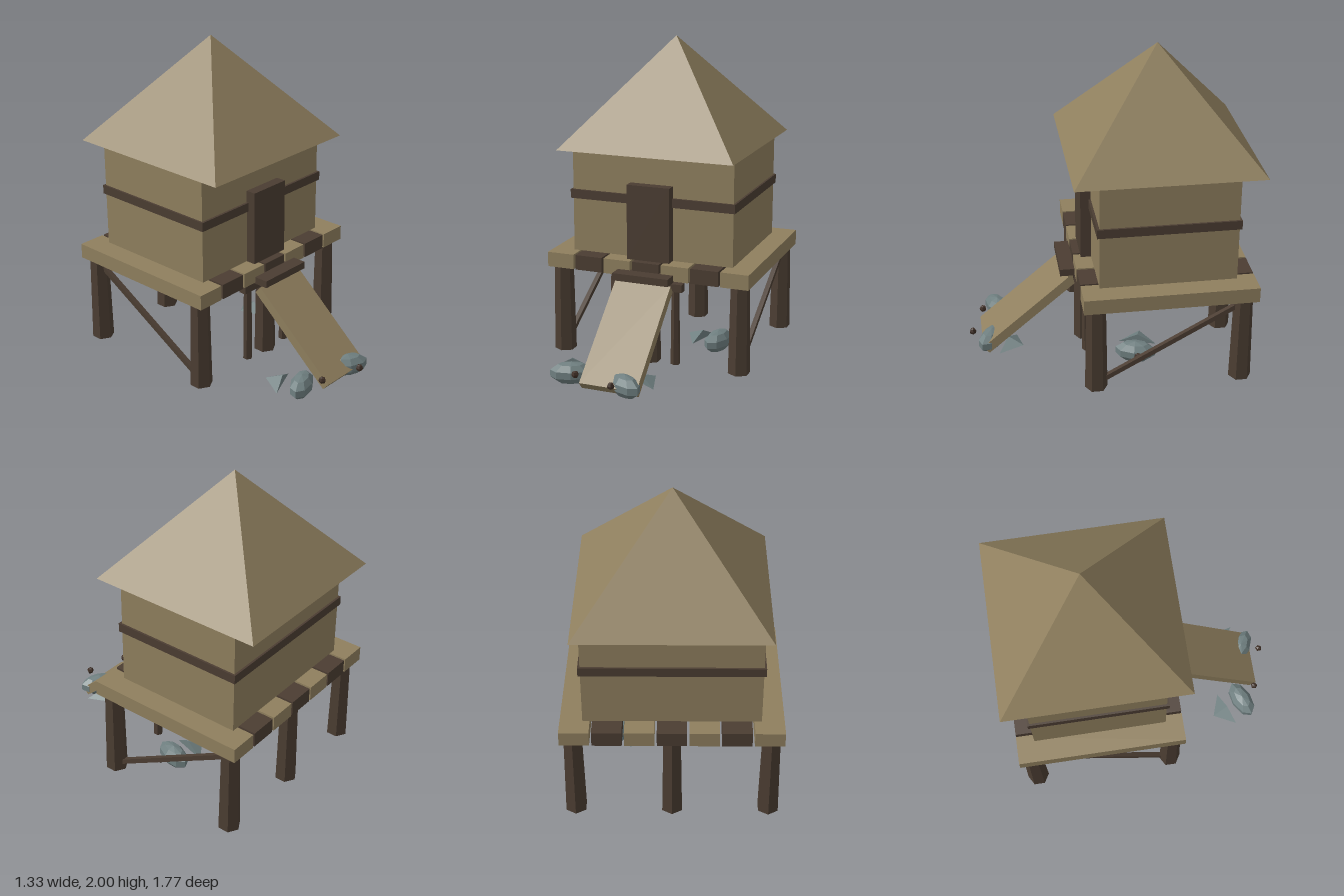
import * as THREE from 'three';

const flat = (color, name) => {
  const m = new THREE.MeshStandardMaterial({ color, flatShading: true });
  m.name = name;
  return m;
};

export function createModel() {
  const straw = flat(0x8f7f5e, 'straw wood');
  const dark = flat(0x4b3d32, 'dark wood');
  const scale = flat(0x6f7f80, 'fish grey');
  const eyeBrown = flat(0x3f2f26, 'eye brown');

  const model = new THREE.Group();
  model.name = 'stiltHut';

  const add = (name, geometry, material, x, y, z, parent = model) => {
    const mesh = new THREE.Mesh(geometry, material);
    mesh.name = name;
    mesh.position.set(x, y, z);
    parent.add(mesh);
    return mesh;
  };
  // Box given by its limits on each axis
  const box = (name, material, x0, x1, y0, y1, z0, z1) =>
    add(name, new THREE.BoxGeometry(x1 - x0, y1 - y0, z1 - z0), material,
      (x0 + x1) / 2, (y0 + y1) / 2, (z0 + z1) / 2);

  // Hut
  box('walls', straw, -0.53, 0.53, 0.66, 1.334, -0.73, 0.11);
  box('wallBand', dark, -0.543, 0.543, 1.003, 1.06, -0.743, 0.125);
  box('door', dark, -0.14, 0.14, 0.66, 1.135, 0.1, 0.175);
  const roof = new THREE.ConeGeometry(0.572 * Math.SQRT2, 0.667, 4);
  roof.rotateY(Math.PI / 4);
  add('roof', roof, straw, 0, 1.6665, -0.311);

  // Deck of alternating planks
  for (let i = -3; i <= 3; i++) {
    const x = i * 0.192;
    box('deckPlank', i % 2 ? straw : dark, x - 0.089, x + 0.089, 0.565, 0.66, -0.843, 0.22);
  }

  // Six tapered stilts
  const stilt = new THREE.CylinderGeometry(0.06, 0.07, 0.566, 6);
  for (const x of [-0.59, 0, 0.59])
    for (const z of [0.14, -0.76]) add('stilt', stilt, dark, x, 0.283, z);

  // Diagonal braces along both sides
  const low = new THREE.Vector2(0.1, 0.05), high = new THREE.Vector2(-0.74, 0.52);
  for (const x of [-0.59, 0.59]) {
    const brace = add('brace', new THREE.BoxGeometry(0.03, 0.03, low.distanceTo(high)), dark,
      x, (low.y + high.y) / 2, (low.x + high.x) / 2);
    brace.rotation.x = Math.atan2(high.y - low.y, low.x - high.x);
  }

  // Ramp with its step and supports
  const ramp = add('ramp', new THREE.BoxGeometry(0.365, 0.06, 0.723), straw, 0, 0.287, 0.5155);
  ramp.rotation.x = 0.707;
  box('step', dark, -0.183, 0.183, 0.557, 0.603, 0.2, 0.31);
  box('rampBeam', dark, -0.223, 0.223, 0.48, 0.53, 0.122, 0.172);
  const rampPost = new THREE.CylinderGeometry(0.025, 0.03, 0.52, 6);
  for (const x of [-0.173, 0.173]) add('rampPost', rampPost, dark, x, 0.26, 0.147);

  // Fish lying around the hut
  const bodyGeo = new THREE.SphereGeometry(1, 8, 5);
  bodyGeo.scale(0.132, 0.07, 0.069);
  const tailGeo = new THREE.ConeGeometry(0.137, 0.108, 3);
  tailGeo.rotateX(-Math.PI / 2);
  tailGeo.scale(1, 0.29, 1);
  const eyeGeo = new THREE.SphereGeometry(0.023, 5, 4);
  for (const [x, z, turn] of [[-0.29, 0.69, 0.4], [0.085, 0.75, -0.55], [0.36, -0.14, 1.3]]) {
    const fish = new THREE.Group();
    fish.name = 'fish';
    fish.position.set(x, 0.078, z);
    fish.rotation.y = turn;
    add('fishBody', bodyGeo, scale, 0, 0, 0, fish);
    add('fishTail', tailGeo, scale, 0, 0.004, -0.174, fish);
    add('fishEye', eyeGeo, eyeBrown, 0.03, 0.038, 0.12, fish);
    model.add(fish);
  }

  return model;
}
